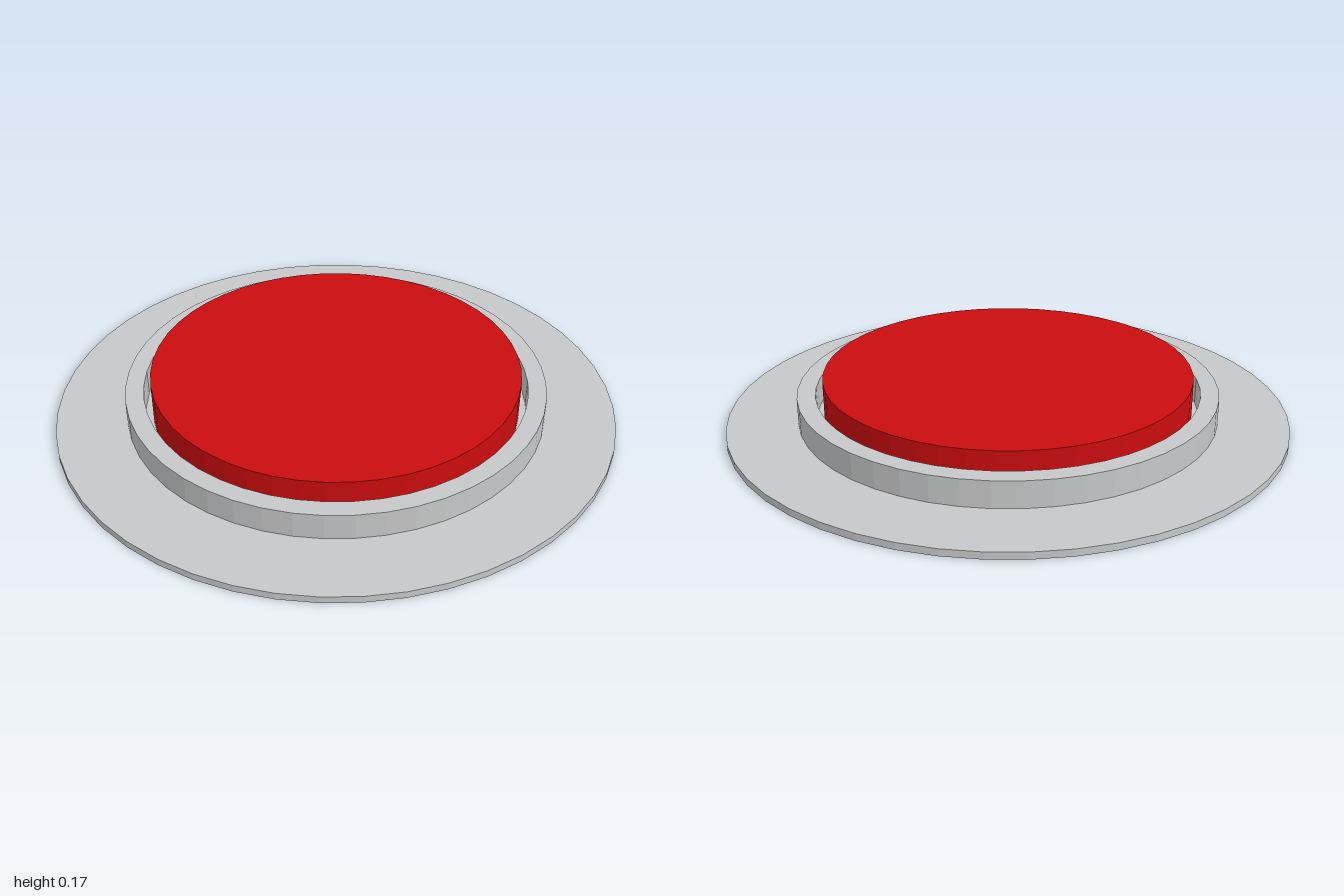
import * as THREE from 'three';

const SIDES = 48;

// Revolve a [radius, height] profile into a faceted solid, listed from bottom centre outward and up
function turned(name, profile, material) {
  const points = profile.map(([r, y]) => new THREE.Vector2(r, y));
  const geometry = new THREE.LatheGeometry(points, SIDES).toNonIndexed();
  geometry.computeVertexNormals();
  const mesh = new THREE.Mesh(geometry, material);
  mesh.name = name;
  return mesh;
}

export function createModel() {
  const grey = new THREE.MeshStandardMaterial({ color: 0xc6c7c8 });
  grey.name = 'light grey';
  const red = new THREE.MeshStandardMaterial({ color: 0xca0c0e });
  red.name = 'red';

  const group = new THREE.Group();
  group.name = 'pushButton';

  // Flat base flange with raised collar around a shallow well
  group.add(turned('housing', [
    [0, 0], [1, 0], [1, 0.025],
    [0.75, 0.025], [0.75, 0.12],
    [0.685, 0.12], [0.685, 0.025], [0, 0.025],
  ], grey));

  // Button cap standing in the well, with a narrow gap all round
  group.add(turned('buttonCap', [
    [0, 0.026], [0.658, 0.026], [0.658, 0.175], [0, 0.175],
  ], red));

  return group;
}
